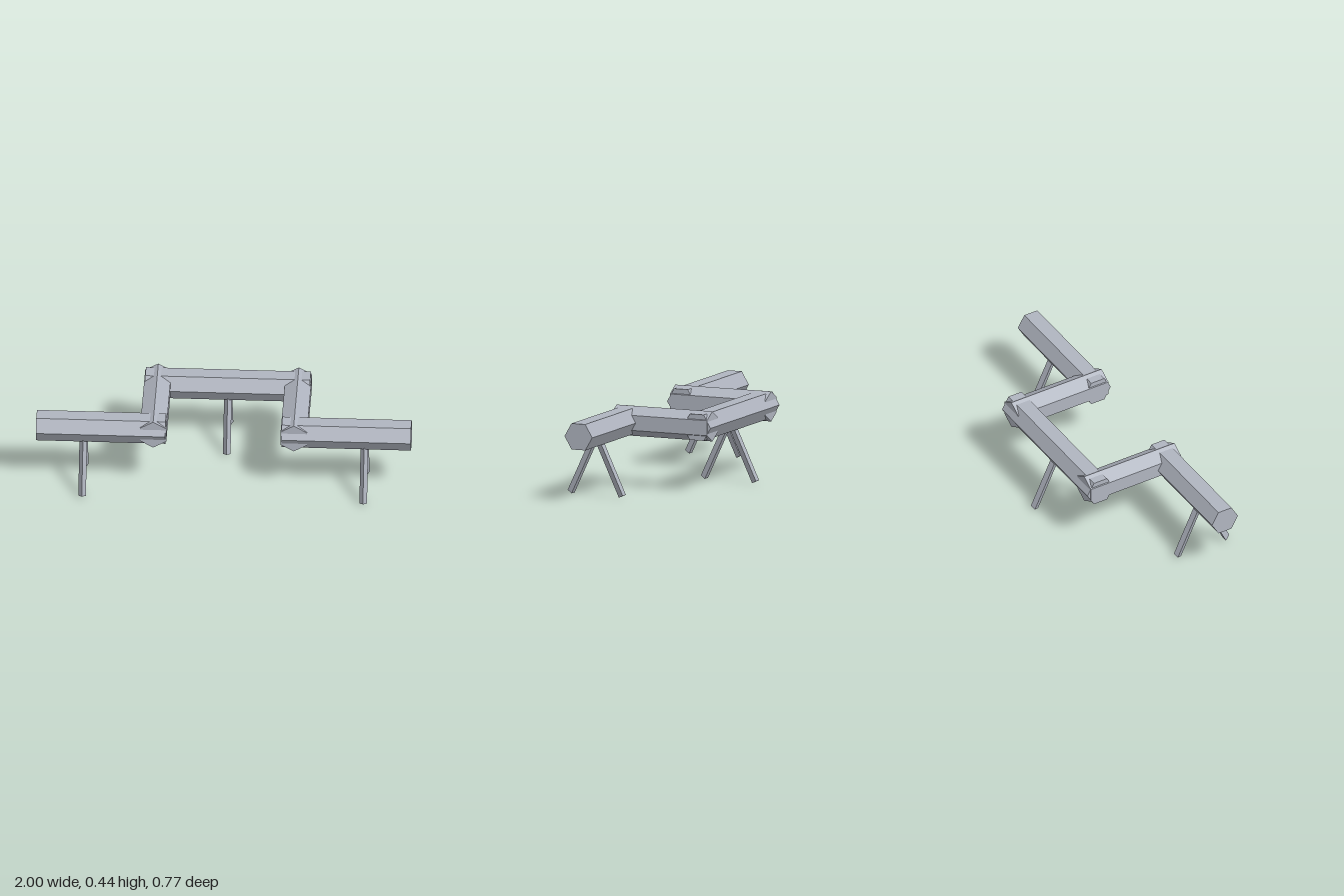
import * as THREE from 'three';

export function createModel() {
  const model = new THREE.Group();
  model.name = 'trestleBarrier';
  const steel = new THREE.MeshStandardMaterial({ color: 0xb0b5c0 });
  steel.name = 'steel grey';

  const RADIUS = 0.081, BEAM_Y = 0.355;

  // flat-faced prism lying along y, first corner facing +z
  const prism = (radius, length, sides) =>
    new THREE.CylinderGeometry(radius, radius, length, sides).toNonIndexed();

  function add(name, geometry, x, y, z, parent = model) {
    geometry.computeVertexNormals();
    const mesh = new THREE.Mesh(geometry, steel);
    mesh.name = name;
    mesh.position.set(x, y, z);
    parent.add(mesh);
    return mesh;
  }

  // hexagonal beam running left to right
  const beamX = (name, x0, x1, z) =>
    add(name, prism(RADIUS, x1 - x0, 6).rotateZ(Math.PI / 2), (x0 + x1) / 2, BEAM_Y, z);

  beamX('rightFrontBeam', -1, -0.31, 0.213);
  beamX('leftFrontBeam', 0.31, 1, 0.213);
  beamX('backBeam', -0.44, 0.44, -0.224);

  // hexagonal beams running front to back
  for (const [name, x] of [['rightLinkBeam', -0.375], ['leftLinkBeam', 0.375]])
    add(name, prism(RADIUS, 0.562, 6).rotateX(Math.PI / 2), x, BEAM_Y, -0.005);

  // pairs of splayed three-sided legs
  const TILT = THREE.MathUtils.degToRad(25), LENGTH = 0.335;
  function legPair(name, x, z) {
    const pair = new THREE.Group();
    pair.name = name;
    pair.position.set(x, 0, z);
    for (const side of [1, -1]) {
      const foot = 0.15 * side;
      const footY = side > 0 ? 0.0127 : 0.009;
      const leg = add(side > 0 ? 'frontLeg' : 'backLeg', prism(0.0235, LENGTH, 3), 0,
        footY + Math.cos(TILT) * LENGTH / 2,
        foot - side * Math.sin(TILT) * LENGTH / 2, pair);
      leg.rotation.x = -side * TILT;
    }
    model.add(pair);
  }
  legPair('rightLegs', -0.75, 0.219);
  legPair('middleLegs', 0, -0.218);
  legPair('leftLegs', 0.75, 0.219);

  return model;
}
